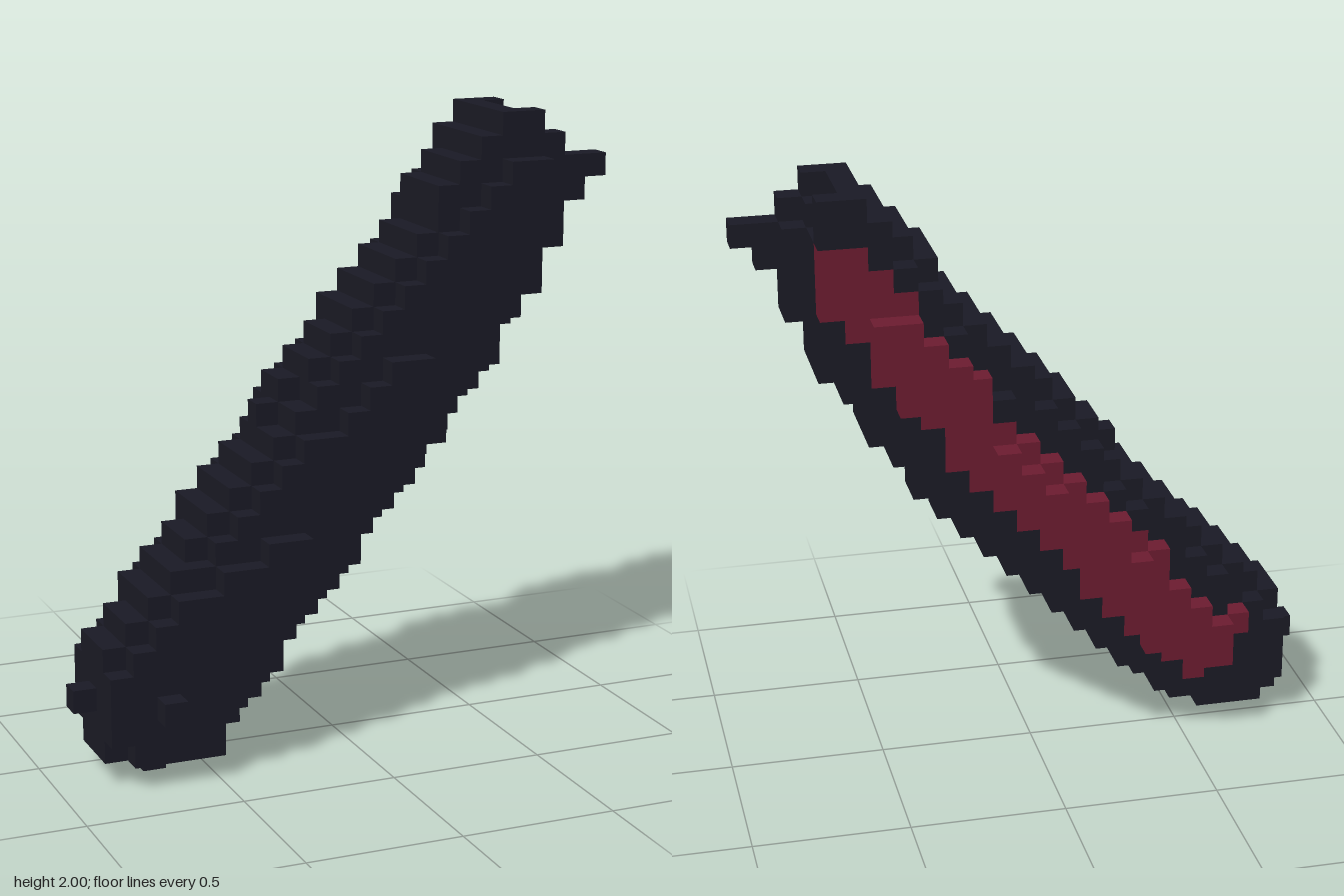
import * as THREE from 'three';
import { mergeGeometries } from 'three/addons/utils/BufferGeometryUtils.js';

const V = 2 / 27; // voxel size

// Limits of each layer, bottom to top: first column, last column, first depth, last depth
const ROWS = [
  [3, 3, 3, 3], [1, 5, 1, 5], [1, 6, 1, 5], [0, 7, 0, 6], [1, 8, 1, 7], [1, 9, 1, 7],
  [2, 10, 1, 7], [3, 11, 1, 7], [4, 12, 1, 8], [5, 14, 1, 8], [6, 14, 2, 8], [7, 15, 2, 8],
  [8, 16, 2, 8], [9, 17, 2, 9], [9, 17, 2, 9], [10, 18, 2, 9], [11, 19, 2, 8], [12, 19, 3, 8],
  [13, 20, 3, 9], [14, 21, 3, 9], [15, 21, 3, 9], [16, 22, 3, 9], [17, 22, 3, 8], [17, 23, 3, 8],
  [18, 24, 3, 8], [19, 22, 4, 8], [20, 21, 4, 8],
];
// Depth limits by column: last column of the run, first depth, last depth
const COLUMNS = [
  [0, 3, 3], [2, 1, 5], [3, 0, 6], [7, 1, 7], [9, 1, 8], [11, 2, 8],
  [14, 2, 9], [15, 2, 8], [19, 3, 9], [21, 3, 8], [22, 3, 5], [24, 4, 4],
];

// Gently curved centre line of the sheath
const axisX = (j) => 3 + 1.0476 * (j - 3) - 0.00907 * (j - 3) ** 2;
const axisK = (j) => 3 + 3.1 * (1 - Math.exp(-(j - 3) / 7));

// 0 = empty, 1 = sheath, 2 = stripe
function voxelAt(i, j, k) {
  const row = ROWS[j];
  const col = COLUMNS.find((c) => i <= c[0]);
  if (!row || !col || i < row[0] || i > row[1]) return 0;
  if (k < Math.max(row[2], col[1]) || k > Math.min(row[3], col[2])) return 0;

  // Hollow at the mouth
  if (Math.hypot(i - 22.5, j - 26, k - 6.3) < 2.2) return 0;

  const slope = 1.0476 - 0.01814 * (j - 3);
  const off = i - axisX(j);
  const along = j + (off * slope) / (1 + slope * slope);
  // Rounded lower tip
  if (along < 3) return Math.hypot(i - 3, j - 3, k - 3) <= 3.01 ? 1 : 0;

  const u = off / Math.hypot(1, slope);
  const d = k - axisK(along);
  // Raised stripe along the back
  if (Math.abs(u) <= 1.45 && d >= 2 && along >= 3.9 && j <= 24) return d <= 3.8 - 0.4 * u * u ? 2 : 0;
  // Oval tube: fuller behind on the lower side, slimmer in front towards the mouth
  const back = u > 0 ? 3.3 : 2.75;
  const front = 3.9 - 0.12 * Math.max(0, along - 17);
  return (u / 3.45) ** 2 + (d / (d > 0 ? back : front)) ** 2 <= 1 ? 1 : 0;
}

// One square face for each of the six directions: [di, dj, dk, geometry]
function makeFaces() {
  const face = (di, dj, dk, rx, ry) => {
    const g = new THREE.PlaneGeometry(V, V);
    g.rotateX(rx).rotateY(ry);
    g.translate((di * V) / 2, (dj * V) / 2, (-dk * V) / 2);
    return [di, dj, dk, g];
  };
  const q = Math.PI / 2;
  return [
    face(1, 0, 0, 0, q), face(-1, 0, 0, 0, -q),
    face(0, 1, 0, -q, 0), face(0, -1, 0, q, 0),
    face(0, 0, -1, 0, 0), face(0, 0, 1, 0, Math.PI),
  ];
}

export function createModel() {
  const group = new THREE.Group();
  group.name = 'curvedSheath';
  const faces = makeFaces();
  const parts = { 1: [], 2: [] };

  // Keep only the exposed sides of the voxels
  for (let i = 0; i < 25; i++)
    for (let j = 0; j < 27; j++)
      for (let k = 0; k < 10; k++) {
        const kind = voxelAt(i, j, k);
        if (!kind) continue;
        for (const [di, dj, dk, g] of faces) {
          if (voxelAt(i + di, j + dj, k + dk)) continue;
          parts[kind].push(g.clone().translate((i - 12) * V, (j + 0.5) * V, (4.5 - k) * V));
        }
      }

  const add = (name, geometries, materialName, color) => {
    const material = new THREE.MeshStandardMaterial({ color });
    material.name = materialName;
    const mesh = new THREE.Mesh(mergeGeometries(geometries), material);
    mesh.name = name;
    group.add(mesh);
  };
  add('sheathBody', parts[1], 'charcoal', 0x1a1a25);
  add('backStripe', parts[2], 'darkRed', 0x6c1c30);
  return group;
}
